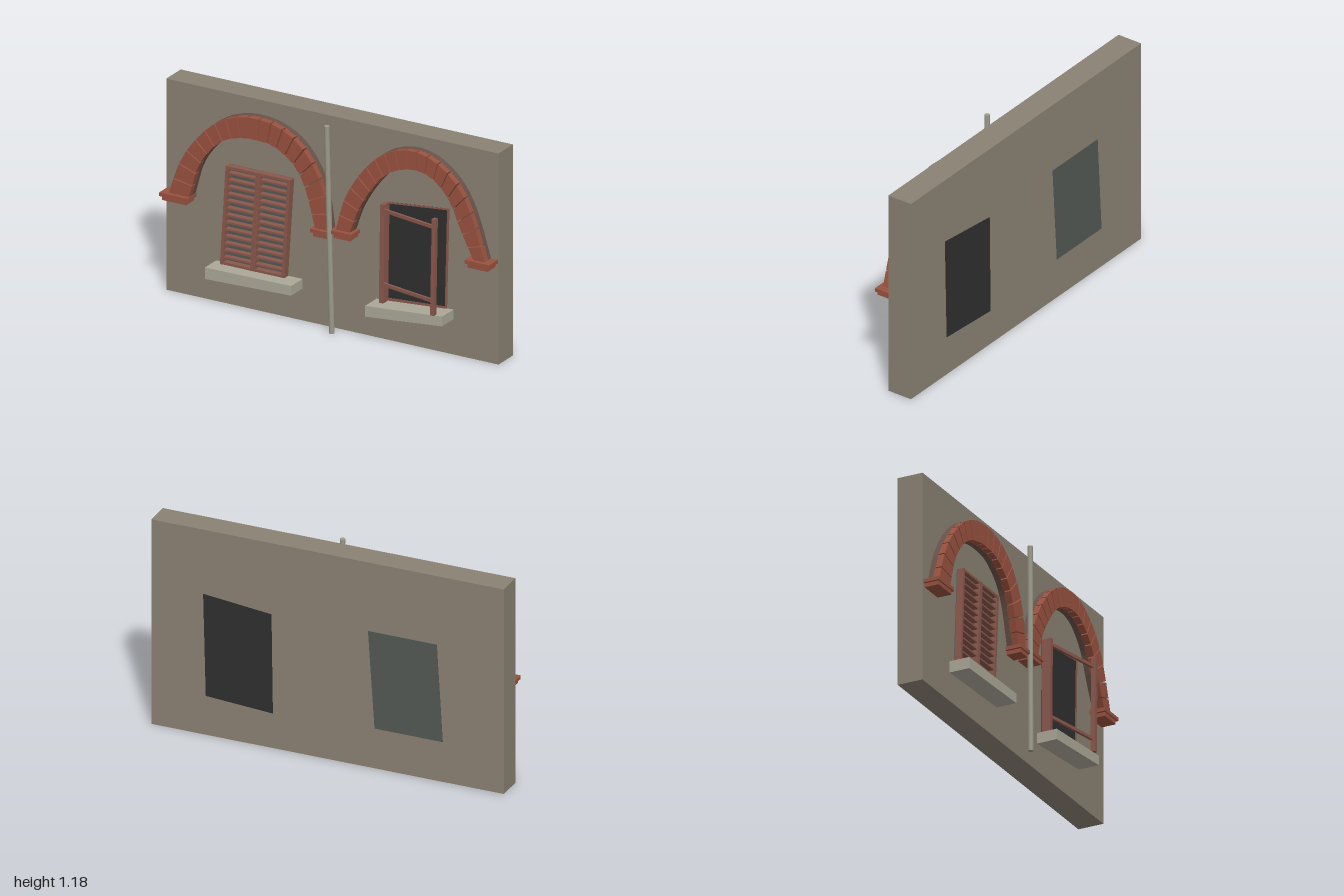
import * as THREE from 'three';

const mat = (name, color) => {
  const m = new THREE.MeshStandardMaterial({ color });
  m.name = name;
  return m;
};

export function createModel() {
  const root = new THREE.Group();
  root.name = 'archedWall';
  const plaster = mat('plaster', 0x8a8172);
  const brick = mat('brick', 0x98523f);
  const mortar = mat('mortar', 0x68524a);
  const wood = mat('paintedWood', 0x8a584c);
  const stone = mat('stone', 0xaba798);
  const metal = mat('pipeMetal', 0x9c9a8a);
  const darkGlass = mat('darkGlass', 0x2f2f30);
  const greyGlass = mat('greyGlass', 0x535855);

  // Prism with a front outline [x, y] between two depths
  const prism = (parent, name, pts, z0, z1, material) => {
    const shape = new THREE.Shape(pts.map(([x, y]) => new THREE.Vector2(x, y)));
    const geo = new THREE.ExtrudeGeometry(shape, { depth: z1 - z0, bevelEnabled: false });
    geo.translate(0, 0, z0);
    const mesh = new THREE.Mesh(geo, material);
    mesh.name = name;
    parent.add(mesh);
    return mesh;
  };
  const block = (parent, name, x0, x1, y0, y1, z0, z1, material) =>
    prism(parent, name, [[x0, y0], [x1, y0], [x1, y1], [x0, y1]], z0, z1, material);

  // Square bar between two points
  const bar = (parent, name, a, b, w, h, material) => {
    const p = new THREE.Vector3(...a), q = new THREE.Vector3(...b);
    const mesh = new THREE.Mesh(new THREE.BoxGeometry(w, h, p.distanceTo(q)), material);
    mesh.position.lerpVectors(p, q, 0.5);
    mesh.lookAt(q);
    mesh.name = name;
    parent.add(mesh);
  };

  const FRONT = 0.01, BACK = -0.135;
  block(root, 'wall', -1, 1, 0, 1.18, BACK, FRONT, plaster);

  // Arches: wedge bricks between an outer and an inner curve, over a mortar bed
  const curve = pts => new THREE.CatmullRomCurve3(pts.map(([x, y]) => new THREE.Vector3(x, y, 0)));
  const arch = (name, outerPts, innerPts, count) => {
    const g = new THREE.Group();
    g.name = name;
    root.add(g);
    const outer = curve(outerPts), inner = curve(innerPts);
    const at = (c, t) => { const p = c.getPointAt(t); return [p.x, p.y]; };
    const bed = [];
    for (let i = 0; i <= 36; i++) bed.push(at(outer, i / 36));
    for (let i = 36; i >= 0; i--) bed.push(at(inner, i / 36));
    prism(g, 'mortarBed', bed, FRONT - 0.002, 0.042, mortar);
    // Bricks are longer towards the feet
    const spread = s => s + 0.028 * Math.sin(2 * Math.PI * s);
    for (let i = 0; i < count; i++) {
      const gap = 0.0022;
      const t0 = spread(i / count) + gap, t1 = spread((i + 1) / count) - gap;
      prism(g, 'archBrick',
        [at(outer, t0), at(outer, t1), at(inner, t1), at(inner, t0)], 0.038, 0.078, brick);
    }
  };
  arch('leftArch',
    [[-0.947, 0.57], [-0.872, 0.778], [-0.738, 0.96], [-0.63, 1.045], [-0.52, 1.088], [-0.41, 1.099],
      [-0.3, 1.083], [-0.187, 1.03], [-0.11, 0.955], [-0.048, 0.858], [-0.016, 0.773], [0.018, 0.56]],
    [[-0.826, 0.57], [-0.765, 0.767], [-0.685, 0.88], [-0.604, 0.944], [-0.497, 0.976], [-0.41, 0.98],
      [-0.32, 0.97], [-0.23, 0.92], [-0.177, 0.87], [-0.128, 0.783], [-0.064, 0.56]], 19);
  arch('rightArch',
    [[0.06, 0.575], [0.1, 0.73], [0.14, 0.82], [0.22, 0.94], [0.305, 1.03], [0.412, 1.093], [0.53, 1.115],
      [0.637, 1.093], [0.738, 1.03], [0.813, 0.95], [0.877, 0.826], [0.957, 0.58]],
    [[0.143, 0.575], [0.198, 0.725], [0.3, 0.885], [0.375, 0.96], [0.45, 0.997], [0.53, 1.013],
      [0.62, 0.997], [0.706, 0.933], [0.76, 0.858], [0.8, 0.762], [0.89, 0.58]], 19);

  // Stepped capitals under the arch feet
  for (const [x0, x1, y] of [[-0.99, -0.82, 0.577], [-0.082, 0.022, 0.565], [0.043, 0.167, 0.582], [0.85, 0.996, 0.585]]) {
    const g = new THREE.Group();
    g.name = 'capital';
    root.add(g);
    block(g, 'capitalTop', x0, x1, y - 0.02, y, FRONT - 0.002, 0.1, brick);
    block(g, 'capitalBase', x0 + 0.013, x1 - 0.013, y - 0.042, y - 0.02, FRONT - 0.002, 0.092, brick);
  }

  // Points inside a four-cornered opening: bottom left, bottom right, top right, top left
  const inside = ([a, b, c, d]) => (u, v) => [0, 1].map(k =>
    (a[k] * (1 - u) + b[k] * u) * (1 - v) + (d[k] * (1 - u) + c[k] * u) * v);
  const patch = (parent, name, at, u0, u1, v0, v1, z0, z1, material) =>
    prism(parent, name, [at(u0, v0), at(u1, v0), at(u1, v1), at(u0, v1)], z0, z1, material);

  // Left window with closed louvred shutters
  const left = new THREE.Group();
  left.name = 'louvredWindow';
  root.add(left);
  const L = inside([[-0.654, 0.23], [-0.267, 0.23], [-0.23, 0.785], [-0.62, 0.785]]);
  patch(left, 'pane', L, 0, 1, 0, 1, BACK - 0.002, FRONT + 0.003, greyGlass);
  for (const [u0, u1] of [[0, 0.045], [0.465, 0.5], [0.505, 0.54], [0.955, 1]])
    patch(left, 'shutterStile', L, u0, u1, 0, 1, FRONT, 0.05, wood);
  for (const [u0, u1] of [[0.045, 0.465], [0.54, 0.955]]) {
    patch(left, 'shutterRail', L, u0, u1, 0, 0.025, FRONT, 0.048, wood);
    patch(left, 'shutterRail', L, u0, u1, 0.975, 1, FRONT, 0.048, wood);
    for (let i = 1; i < 14; i++)
      patch(left, 'louvre', L, u0, u1, i / 14 - 0.009, i / 14 + 0.009, FRONT, 0.045, wood);
  }

  // Right window with an open casement
  const right = new THREE.Group();
  right.name = 'openWindow';
  root.add(right);
  const R = inside([[0.31, 0.2], [0.69, 0.225], [0.705, 0.81], [0.318, 0.77]]);
  patch(right, 'pane', R, 0, 1, 0, 1, BACK - 0.002, FRONT + 0.002, darkGlass);
  patch(right, 'frameTop', R, 0, 1, 0.985, 1, FRONT, 0.015, wood);
  patch(right, 'frameBottom', R, 0, 1, 0, 0.06, FRONT, 0.015, wood);
  patch(right, 'frameSide', R, 0.97, 1, 0, 1, FRONT, 0.015, wood);
  patch(right, 'hingeJamb', R, 0, 0.07, 0, 1, FRONT, 0.062, wood);
  bar(right, 'casementStile', [0.675, 0.25, 0.125], [0.685, 0.79, 0.125], 0.026, 0.022, wood);
  for (const y of [0.326, 0.74])
    bar(right, 'casementRail', [0.33, y, 0.055], [0.68, y, 0.122], 0.014, 0.018, wood);

  // Sills
  prism(root, 'leftSill', [[-0.7, 0.163], [-0.18, 0.178], [-0.18, 0.232], [-0.7, 0.227]], FRONT - 0.002, 0.125, stone);
  prism(root, 'rightSill', [[0.265, 0.155], [0.73, 0.198], [0.73, 0.252], [0.265, 0.215]], FRONT - 0.002, 0.127, stone);

  // Leaning downpipe
  const a = new THREE.Vector3(0.045, 0.005, 0.091), b = new THREE.Vector3(0.02, 1.16, 0.1);
  const pipe = new THREE.Mesh(new THREE.CylinderGeometry(0.015, 0.015, a.distanceTo(b), 8), metal);
  pipe.position.lerpVectors(a, b, 0.5);
  pipe.quaternion.setFromUnitVectors(new THREE.Vector3(0, 1, 0), b.clone().sub(a).normalize());
  pipe.name = 'downpipe';
  root.add(pipe);

  return root;
}
